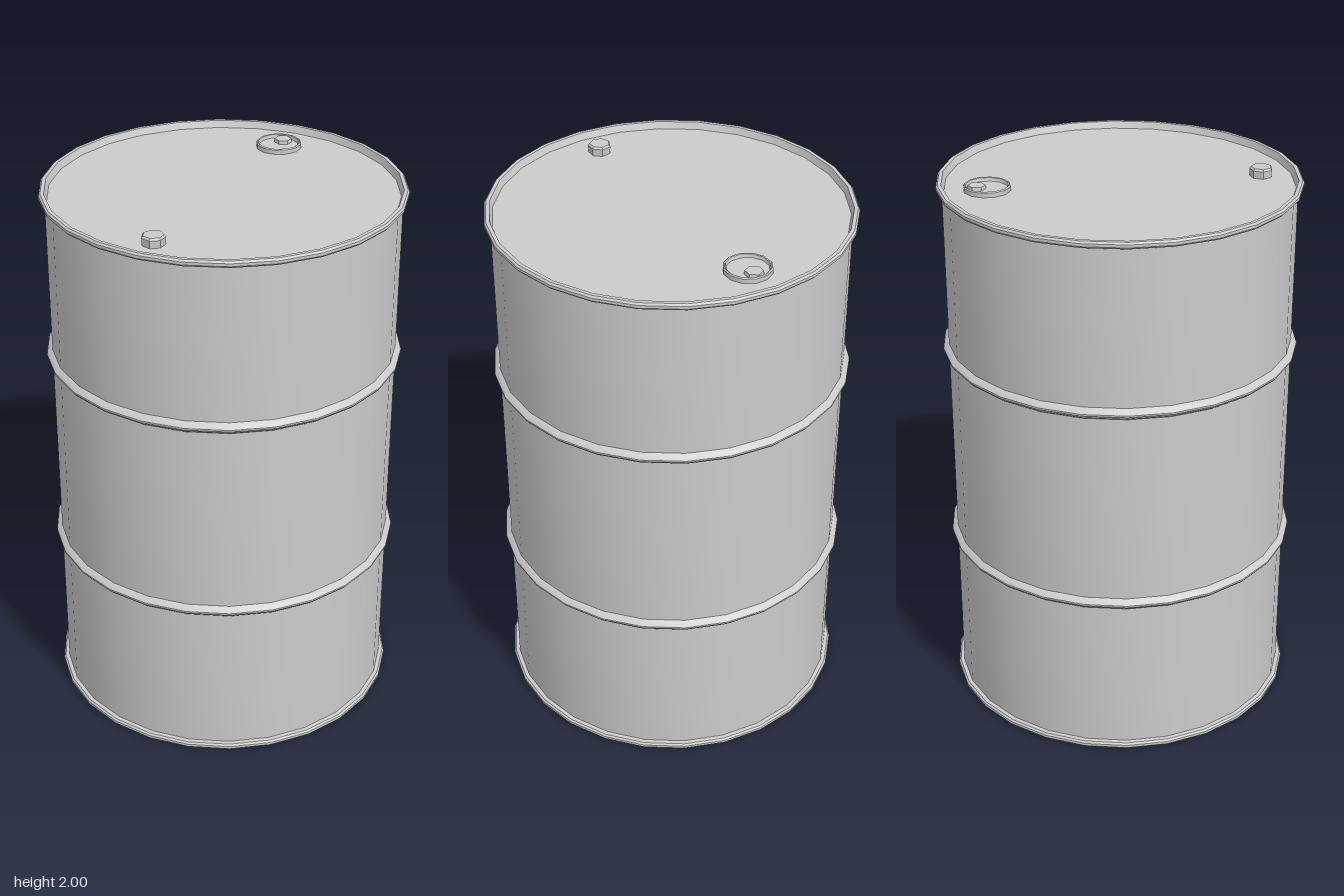
import * as THREE from 'three';
import { toCreasedNormals } from 'three/addons/utils/BufferGeometryUtils.js';

const R = 0.62; // shell radius
const material = new THREE.MeshStandardMaterial({ color: 0xcccccc });

// Turned part from a profile of [radius, height] points
function turned(name, profile, sides, phase = 0) {
  const points = profile.map(([r, y]) => new THREE.Vector2(r, y));
  const lathe = new THREE.LatheGeometry(points, sides, phase);
  const mesh = new THREE.Mesh(toCreasedNormals(lathe, 0.55), material);
  mesh.name = name;
  return mesh;
}

// Rolled rib around the shell, centred on height y
const rib = (y) => [
  [R, y - 0.021], [0.633, y - 0.012], [0.64, y - 0.003],
  [0.64, y + 0.003], [0.633, y + 0.012], [R, y + 0.021],
];

export function createModel() {
  const drum = new THREE.Group();
  drum.name = 'drum';

  // Shell with chimes, two ribs and the recessed lid
  drum.add(turned('shell', [
    [0, 0.002], [0.622, 0.002], [0.634, 0.004], [0.64, 0.01], [0.64, 0.02], [0.634, 0.027], [R, 0.029],
    ...rib(0.625),
    ...rib(1.375),
    [R, 1.965], [0.634, 1.967], [0.64, 1.974], [0.64, 1.984], [0.634, 1.991], [0.621, 1.991],
    [0.612, 1.966], [0, 1.966],
  ], 26, THREE.MathUtils.degToRad(-3.1)));

  // Small vent plug
  const ventPlug = turned('ventPlug', [
    [0.04, 1.964], [0.042, 1.993], [0.036, 2], [0, 2],
  ], 7, 0.3);
  ventPlug.position.set(-0.36, 0, 0.35);
  drum.add(ventPlug);

  // Large bung: raised collar, sunken face and offset nub
  const bung = new THREE.Group();
  bung.name = 'bung';
  bung.position.set(0.325, 0, -0.33);
  bung.add(turned('bungCollar', [
    [0.083, 1.964], [0.083, 1.982], [0.079, 1.986], [0.075, 1.984], [0.072, 1.972], [0, 1.972],
  ], 12));
  const nub = turned('bungNub', [[0.033, 1.97], [0.031, 1.985], [0, 1.985]], 6, 0.2);
  nub.position.set(0.026, 0, -0.025);
  bung.add(nub);
  drum.add(bung);

  return drum;
}
